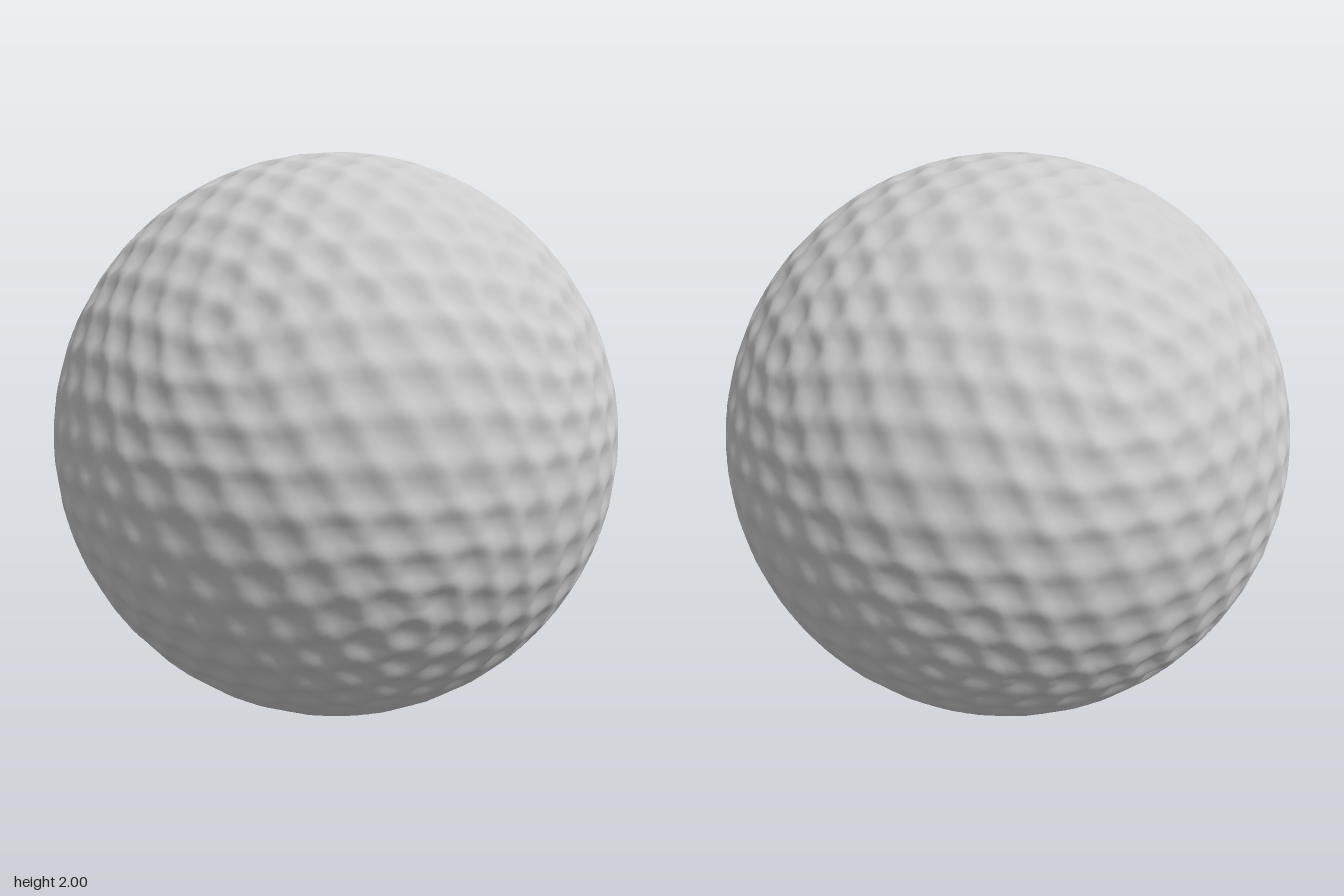
import * as THREE from 'three';
import { mergeVertices } from 'three/addons/utils/BufferGeometryUtils.js';

const DEPTH = 0.016;   // dimple depth
const SPLITS = 3;      // icosahedron halvings: one dimple per resulting corner
const GRID = 8;        // fine steps along each edge between dimple centres

// Icosahedron with corners at the poles
function icosahedronFaces() {
  const ring = (y, offset) => Array.from({ length: 5 }, (_, k) => {
    const a = (k + offset) * Math.PI * 0.4;
    return new THREE.Vector3(Math.cos(a) * 2, y, Math.sin(a) * 2).normalize();
  });
  const top = new THREE.Vector3(0, 1, 0), bottom = new THREE.Vector3(0, -1, 0);
  const up = ring(1, 0), low = ring(-1, 0.5);
  const faces = [];
  for (let k = 0; k < 5; k++) {
    const n = (k + 1) % 5;
    faces.push([top, up[n], up[k]], [up[k], up[n], low[k]],
      [low[n], low[k], up[n]], [bottom, low[k], low[n]]);
  }
  return faces;
}

// Split each triangle into four on the unit sphere
function subdivide(faces) {
  const mid = (p, q) => p.clone().add(q).normalize();
  return faces.flatMap(([a, b, c]) => {
    const ab = mid(a, b), bc = mid(b, c), ca = mid(c, a);
    return [[a, ab, ca], [ab, b, bc], [ca, bc, c], [ab, bc, ca]];
  });
}

// Surface point: sunk at the triangle's corners, raised on the hexagonal ridges between them
function surfacePoint([a, b, c], i, j) {
  const w = [(GRID - i - j) / GRID, i / GRID, j / GRID];
  const p = new THREE.Vector3().addScaledVector(a, w[0])
    .addScaledVector(b, w[1]).addScaledVector(c, w[2]).normalize();
  w.sort((m, n) => n - m);
  const sink = THREE.MathUtils.smoothstep(w[0] - w[1], 0, 0.88);
  return p.multiplyScalar(1 - DEPTH * sink);
}

function dimpledSphere() {
  let faces = icosahedronFaces();
  for (let s = 0; s < SPLITS; s++) faces = subdivide(faces);

  const positions = [];
  for (const face of faces) {
    const add = (i, j) => positions.push(...surfacePoint(face, i, j).toArray());
    for (let i = 0; i < GRID; i++) {
      for (let j = 0; j < GRID - i; j++) {
        add(i, j); add(i + 1, j); add(i, j + 1);
        if (i + j < GRID - 1) { add(i + 1, j); add(i + 1, j + 1); add(i, j + 1); }
      }
    }
  }
  const soup = new THREE.BufferGeometry();
  soup.setAttribute('position', new THREE.Float32BufferAttribute(positions, 3));
  const geometry = mergeVertices(soup, 1e-4);
  geometry.computeVertexNormals();
  return geometry;
}

export function createModel() {
  const group = new THREE.Group();
  group.name = 'golfBall';
  const ball = new THREE.Mesh(dimpledSphere(), new THREE.MeshStandardMaterial({ color: 0xcccccc }));
  ball.name = 'dimpledBall';
  ball.position.y = 1;
  group.add(ball);
  return group;
}
